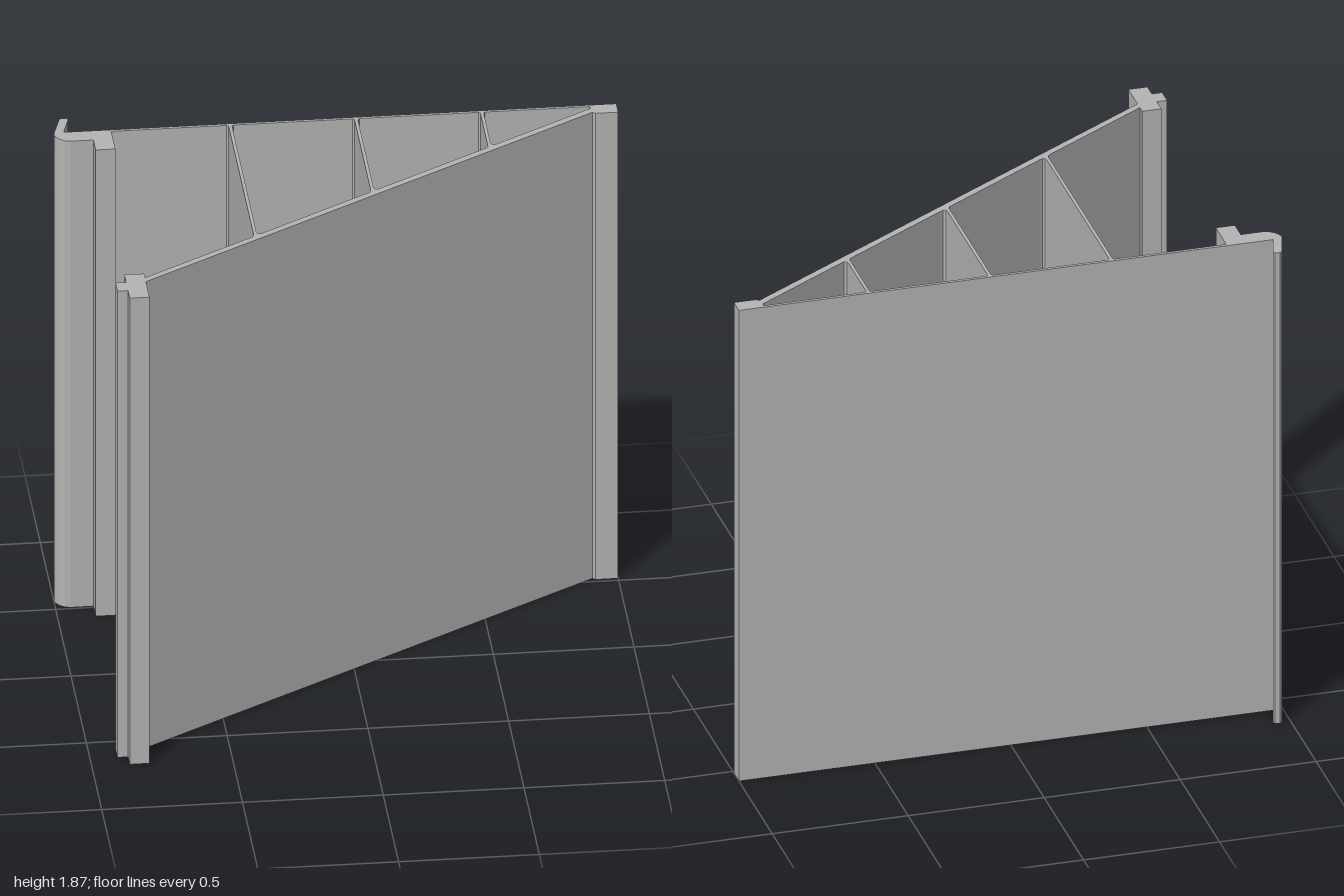
import * as THREE from 'three';

const HEIGHT = 1.87;

export function createModel() {
  const model = new THREE.Group();
  model.name = 'extrudedBracket';
  const grey = new THREE.MeshStandardMaterial({ color: 0xb4b4b4 });
  grey.name = 'plain grey';

  // Extrude a plan outline of [x, z] points upward from y = 0
  function extrude(name, points) {
    const shape = new THREE.Shape(points.map(([x, z]) => new THREE.Vector2(x, -z)));
    const geometry = new THREE.ExtrudeGeometry(shape, { depth: HEIGHT, bevelEnabled: false });
    geometry.rotateX(-Math.PI / 2);
    const mesh = new THREE.Mesh(geometry, grey);
    mesh.name = name;
    model.add(mesh);
  }

  // Inner face of the diagonal wall
  const diagonalZ = (x) => 0.53 - 0.637 * (x + 0.795);

  // Flat back wall
  extrude('backWall', [[-0.8, -0.578], [0.91, -0.578], [0.91, -0.566], [-0.8, -0.566]]);

  // Clip with a slanted lip, rounded heel and square foot
  extrude('hookClip', [
    [-0.968, -0.676], [-0.96, -0.681], [-0.942, -0.679], [-0.937, -0.67],
    [-0.963, -0.578], [-0.795, -0.578], [-0.795, -0.434], [-0.865, -0.434],
    [-0.865, -0.509], [-0.947, -0.509], [-0.966, -0.514], [-0.984, -0.528],
    [-0.996, -0.546], [-1, -0.562], [-0.998, -0.575],
  ]);

  // Solid block where both walls meet
  extrude('cornerBlock', [
    [0.905, -0.578], [1, -0.578], [1, -0.514], [0.92, -0.514], [0.905, -0.526],
  ]);

  // Slanted front wall
  extrude('diagonalWall', [
    [-0.8, 0.533], [0.91, diagonalZ(0.91)], [0.92, -0.53], [-0.8, 0.563],
  ]);

  // T-shaped rail at the open end
  extrude('endRail', [
    [-0.865, 0.5], [-0.795, 0.5], [-0.795, 0.676], [-0.865, 0.676],
    [-0.865, 0.62], [-0.903, 0.62], [-0.903, 0.557], [-0.865, 0.557],
  ]);

  // Thin ribs joining the walls, with small fillets at each end
  [-0.373, 0.074, 0.521].forEach((x, i) => {
    const l = x - 0.006;
    const r = x + 0.006;
    extrude('rib' + (i + 1), [
      [l - 0.007, -0.567], [r + 0.007, -0.567], [r, -0.559],
      [r, diagonalZ(r) - 0.022], [r + 0.003, diagonalZ(r) - 0.013],
      [r + 0.012, diagonalZ(r) - 0.009], [r + 0.026, diagonalZ(r + 0.026)],
      [r + 0.026, diagonalZ(r + 0.026) + 0.01], [l - 0.006, diagonalZ(l - 0.006) + 0.01],
      [l - 0.006, diagonalZ(l - 0.006)], [l, diagonalZ(l) - 0.008], [l, -0.559],
    ]);
  });

  return model;
}
